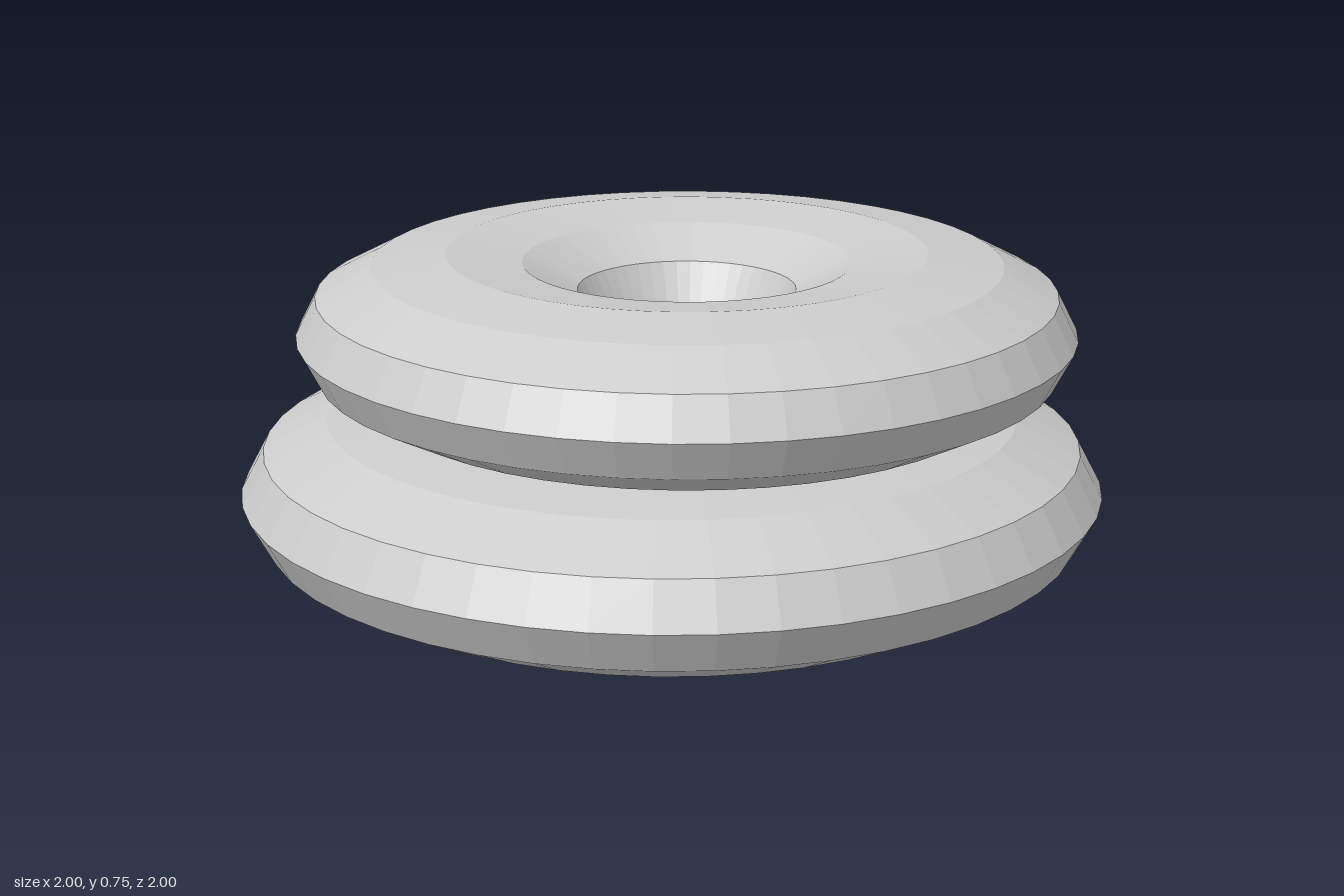
import * as THREE from 'three';

const material = new THREE.MeshStandardMaterial({ color: 0xcccccc, flatShading: true });

// A lying ring with a twelve-sided tube, flattened in height
function ring(name, radius, tube, halfHeight, x, y, z) {
  const geometry = new THREE.TorusGeometry(radius, tube, 12, 48);
  geometry.rotateX(-Math.PI / 2);
  geometry.scale(1, halfHeight / tube, 1);
  const mesh = new THREE.Mesh(geometry, material);
  mesh.name = name;
  mesh.position.set(x, y, z);
  return mesh;
}

export function createModel() {
  const group = new THREE.Group();
  group.name = 'stackedRings';
  // Wide ring on the ground, smaller ring resting slightly off centre on top
  group.add(ring('lowerRing', 0.6, 0.4, 0.2, 0, 0.2, 0));
  group.add(ring('upperRing', 0.55, 0.345, 0.18, 0.035, 0.57, 0.007));
  return group;
}
